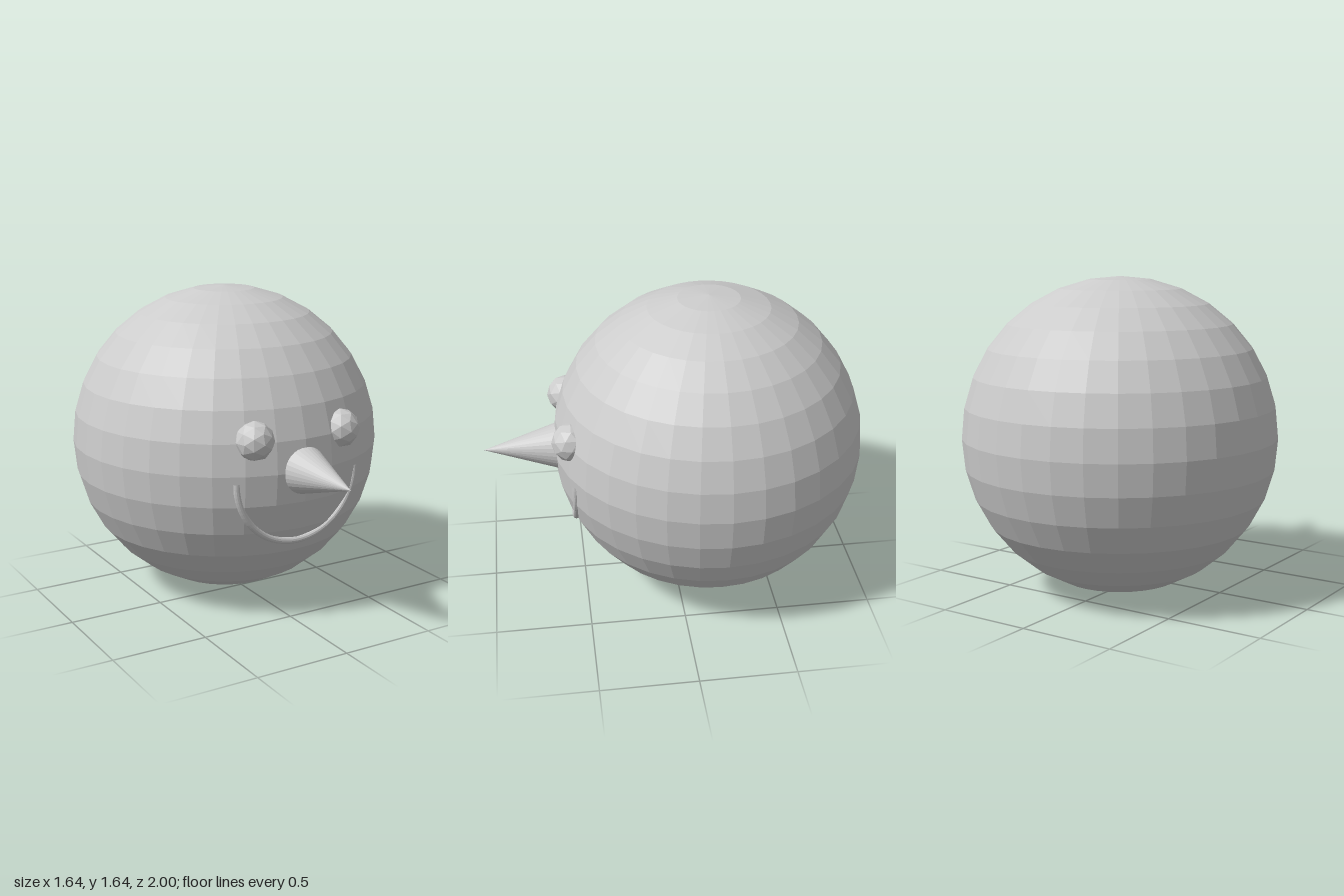
import * as THREE from 'three';

export function createModel() {
  const group = new THREE.Group();
  const material = new THREE.MeshStandardMaterial({ color: 0xcccccc, flatShading: true });

  const add = (name, geometry, x, y, z) => {
    const mesh = new THREE.Mesh(geometry, material);
    mesh.name = name;
    mesh.position.set(x, y, z);
    group.add(mesh);
    return mesh;
  };

  // Faceted ball head
  add('head', new THREE.SphereGeometry(0.818, 32, 16), 0, 0.823, -0.182);

  // Cone nose, its base sunk into the head
  const noseLength = 0.41;
  const nose = new THREE.ConeGeometry(0.129, noseLength, 32);
  nose.rotateX(Math.PI / 2);
  add('nose', nose, 0, 0.823, 1 - noseLength / 2);

  // Low-poly eyes, half buried in the face
  for (const [name, side] of [['leftEye', 1], ['rightEye', -1]]) {
    add(name, new THREE.IcosahedronGeometry(0.1, 1), side * 0.25, 0.99, 0.55);
  }

  // Smile: a lower half ring that sinks into the face at its ends
  const smile = new THREE.TorusGeometry(0.345, 0.018, 12, 48, Math.PI);
  smile.rotateZ(Math.PI);
  add('smile', smile, 0, 0.785, 0.541);

  return group;
}
